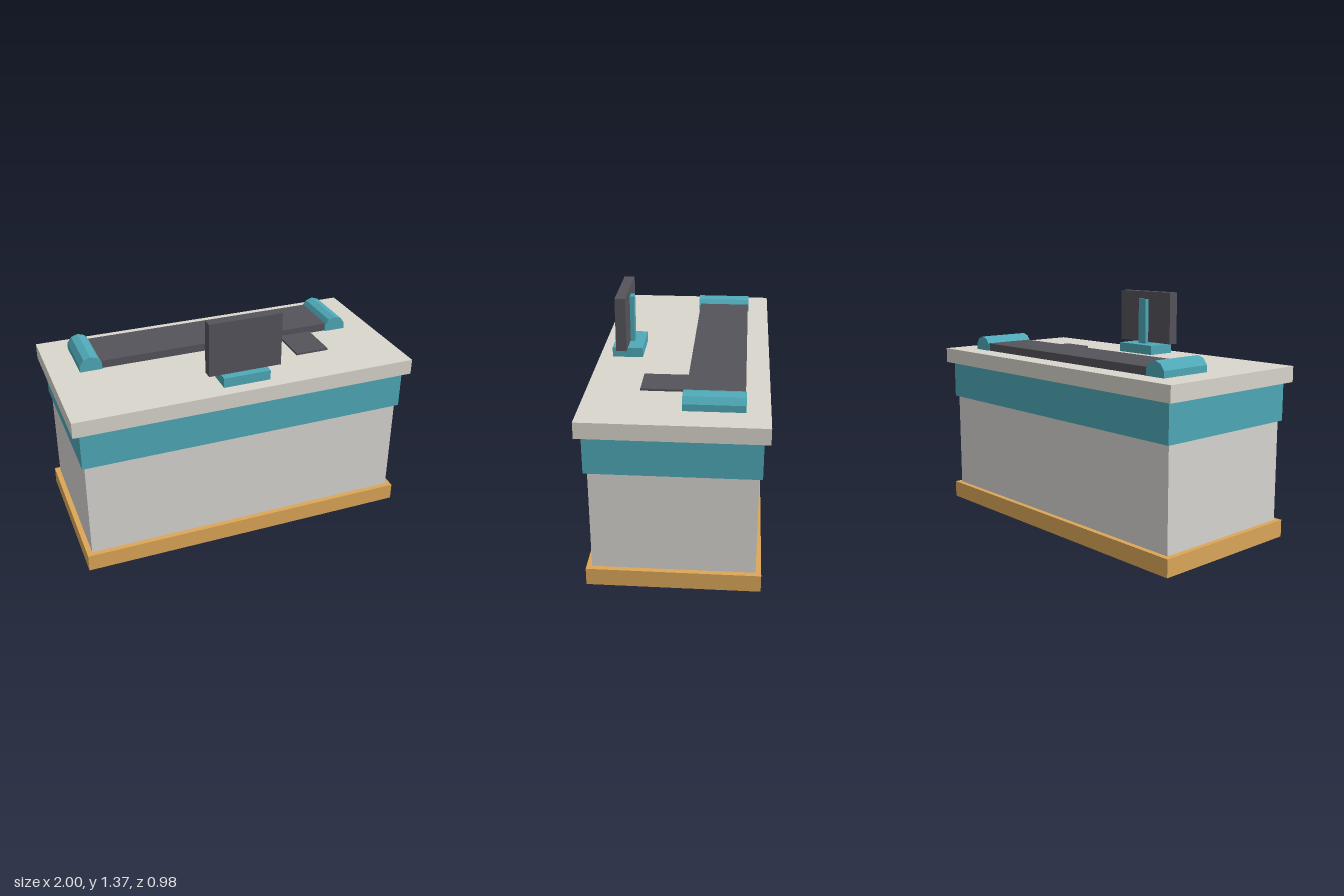
import * as THREE from 'three';

const mat = (color) => new THREE.MeshStandardMaterial({ color, flatShading: true });

export function createModel() {
  const group = new THREE.Group();
  const stone = mat(0xdad6cd), panel = mat(0xd8d6d2), teal = mat(0x4fa9b8);
  const dark = mat(0x55545b), wood = mat(0xdca758);

  function add(name, geometry, material, x = 0, y = 0, z = 0) {
    const mesh = new THREE.Mesh(geometry, material);
    mesh.name = name;
    mesh.position.set(x, y, z);
    group.add(mesh);
    return mesh;
  }

  // Box given by its extents on each axis
  const box = (name, material, [x0, x1], [y0, y1], [z0, z1]) =>
    add(name, new THREE.BoxGeometry(x1 - x0, y1 - y0, z1 - z0), material,
      (x0 + x1) / 2, (y0 + y1) / 2, (z0 + z1) / 2);

  // Counter, from the floor up
  box('plinth', wood, [-0.975, 0.975], [0, 0.1], [-0.47, 0.47]);
  box('cabinet', panel, [-0.945, 0.945], [0.05, 0.7], [-0.44, 0.44]);
  box('trimBand', teal, [-0.96, 0.96], [0.68, 0.905], [-0.458, 0.46]);
  box('countertop', stone, [-1, 1], [0.9, 0.99], [-0.49, 0.49]);

  // Conveyor belt with a ten-sided roller at each end, half sunk in the top
  box('conveyorBelt', dark, [-0.74, 0.74], [0.95, 1.036], [-0.36, -0.05]);
  for (const [side, name] of [[1, 'leftRoller'], [-1, 'rightRoller']]) {
    const roller = new THREE.CylinderGeometry(0.068, 0.068, 0.325, 10);
    roller.rotateX(-Math.PI / 2); // a corner points straight up
    add(name, roller, teal, side * 0.768, 1.007, -0.202);
  }

  // Scanner plate beside the belt
  box('scannerPlate', dark, [0.4, 0.6], [0.98, 1.002], [-0.06, 0.2]);

  // Screen on its stand
  box('screenBase', teal, [-0.138, 0.138], [0.985, 1.046], [0.24, 0.415]);
  box('screenPole', teal, [-0.03, 0.03], [1.04, 1.32], [0.298, 0.357]);
  box('screen', dark, [-0.213, 0.213], [1.055, 1.366], [0.323, 0.383]);

  return group;
}
